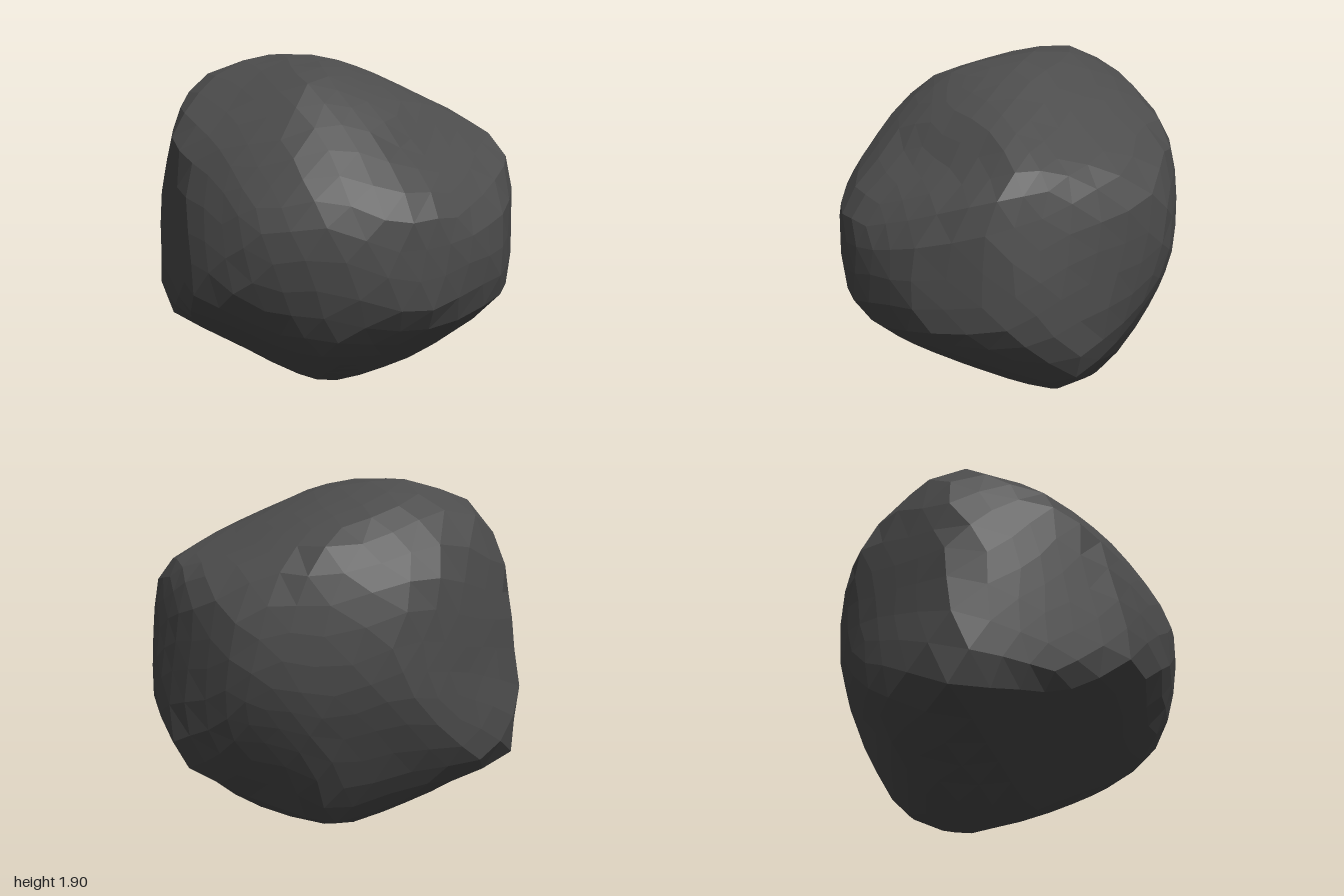
import * as THREE from 'three';

// A rock carved from a ball: each rounded outline trims it along one direction.
// Yaw and pitch (degrees) turn the outline; points run [across, up] from the rock's middle.
function makeOutline(yaw, pitch, points) {
  const a = THREE.MathUtils.degToRad(yaw), p = THREE.MathUtils.degToRad(pitch);
  const corners = points.map(([x, y]) => new THREE.Vector3(x, y, 0));
  return {
    across: new THREE.Vector3(Math.cos(a), 0, -Math.sin(a)),
    up: new THREE.Vector3(-Math.sin(a) * Math.sin(p), Math.cos(p), -Math.cos(a) * Math.sin(p)),
    rim: new THREE.CatmullRomCurve3(corners, true).getPoints(corners.length * 4),
  };
}

// Outlines facing front, side and top
const front = makeOutline(0, 0, [[-0.05, 0.96], [0.3, 0.83], [0.7, 0.59], [0.93, 0.38], [0.97, 0.2],
  [0.8, -0.6], [0.65, -0.76], [0.2, -0.955], [-0.18, -0.91], [-0.73, -0.59], [-0.94, -0.4],
  [-0.97, -0.17], [-0.89, 0.29], [-0.74, 0.59]]);
const side = makeOutline(90, 0, [[-1, 0.03], [-0.85, 0.3], [-0.63, 0.48], [-0.42, 0.76], [0.1, 0.93],
  [0.55, 0.96], [0.85, 0.76], [0.95, 0.25], [0.965, -0.05], [1, -0.51], [0.66, -0.78],
  [0.13, -0.955], [-0.7, -0.58], [-0.89, -0.43], [-0.98, -0.2]]);
const top = makeOutline(0, 90, [[-0.45, 1], [0.1, 0.96], [0.5, 0.8], [0.9, 0.3], [0.97, 0.09],
  [0.73, -0.65], [0.38, -0.9], [0.14, -1], [-0.4, -0.9], [-0.87, -0.48], [-0.97, 0.05],
  [-0.85, 0.35], [-0.6, 0.84]]);

// Outlines facing the slanted directions
const frontSlant = makeOutline(35, 25, [[0.22, 1.1], [0.82, 0.56], [0.92, -0.01], [0.78, -0.43],
  [0.41, -0.9], [0.2, -0.93], [-0.26, -0.83], [-0.79, -0.54], [-0.97, -0.19], [-0.98, 0.12], [-0.49, 0.8]]);
const backSlant = makeOutline(215, 25, [[-0.03, 0.85], [0.46, 0.71], [0.95, 0.23], [0.96, -0.12],
  [0.77, -0.51], [-0.17, -0.95], [-0.52, -0.83], [-0.92, -0.06], [-0.9, 0.28], [-0.8, 0.57], [-0.41, 0.75]]);
const lowSlant = makeOutline(145, -25, [[0.37, 1.02], [0.72, 0.9], [0.98, 0.22], [0.98, -0.2],
  [0.87, -0.5], [0.44, -0.75], [-0.13, -0.87], [-0.97, -0.34], [-0.94, 0.1], [-0.8, 0.56], [-0.33, 0.85]]);
const outlines = [front, side, top, frontSlant, backSlant, lowSlant];

// How far a ray from the middle travels before it leaves an outline
function reach({ across, up, rim }, dir) {
  const u = dir.dot(across), v = dir.dot(up);
  let far = 0;
  for (let i = 0; i < rim.length - 1; i++) {
    const a = rim[i], ex = rim[i + 1].x - a.x, ey = rim[i + 1].y - a.y;
    const den = u * ey - v * ex;
    if (Math.abs(den) < 1e-9) continue;
    const t = (a.x * ey - a.y * ex) / den, s = (a.x * v - a.y * u) / den;
    if (t > 0 && s > -1e-6 && s < 1 + 1e-6) far = Math.max(far, t);
  }
  return far;
}

// Softened minimum of all reaches, which wears down the carved creases
function radius(dir) {
  const sum = outlines.reduce((total, o) => total + Math.pow(reach(o, dir), -60), 0);
  return 1.01 * Math.pow(sum, -1 / 60);
}

export function createModel() {
  const stone = new THREE.MeshStandardMaterial({ color: 0x4c4c4c, flatShading: true });
  stone.name = 'dark grey stone';

  const geometry = new THREE.IcosahedronGeometry(1, 6);
  geometry.rotateX(0.4).rotateZ(0.7);
  const pos = geometry.attributes.position;
  const dir = new THREE.Vector3();
  for (let i = 0; i < pos.count; i++) {
    // Sway the directions so the facets are uneven, then carve
    const { x, y, z } = dir.fromBufferAttribute(pos, i);
    dir.x += 0.04 * Math.sin(9 * y + 4 * z);
    dir.y += 0.04 * Math.sin(8 * z + 5 * x);
    dir.z += 0.04 * Math.sin(9 * x + 3 * y);
    dir.normalize();
    dir.multiplyScalar(radius(dir));
    pos.setXYZ(i, dir.x, dir.y, dir.z);
  }

  // Stand the rock on the ground, centred
  geometry.center();
  geometry.computeBoundingBox();
  geometry.translate(0, -geometry.boundingBox.min.y, 0);
  geometry.computeVertexNormals();

  const rock = new THREE.Mesh(geometry, stone);
  rock.name = 'rock';
  const group = new THREE.Group();
  group.name = 'boulder';
  group.add(rock);
  return group;
}
